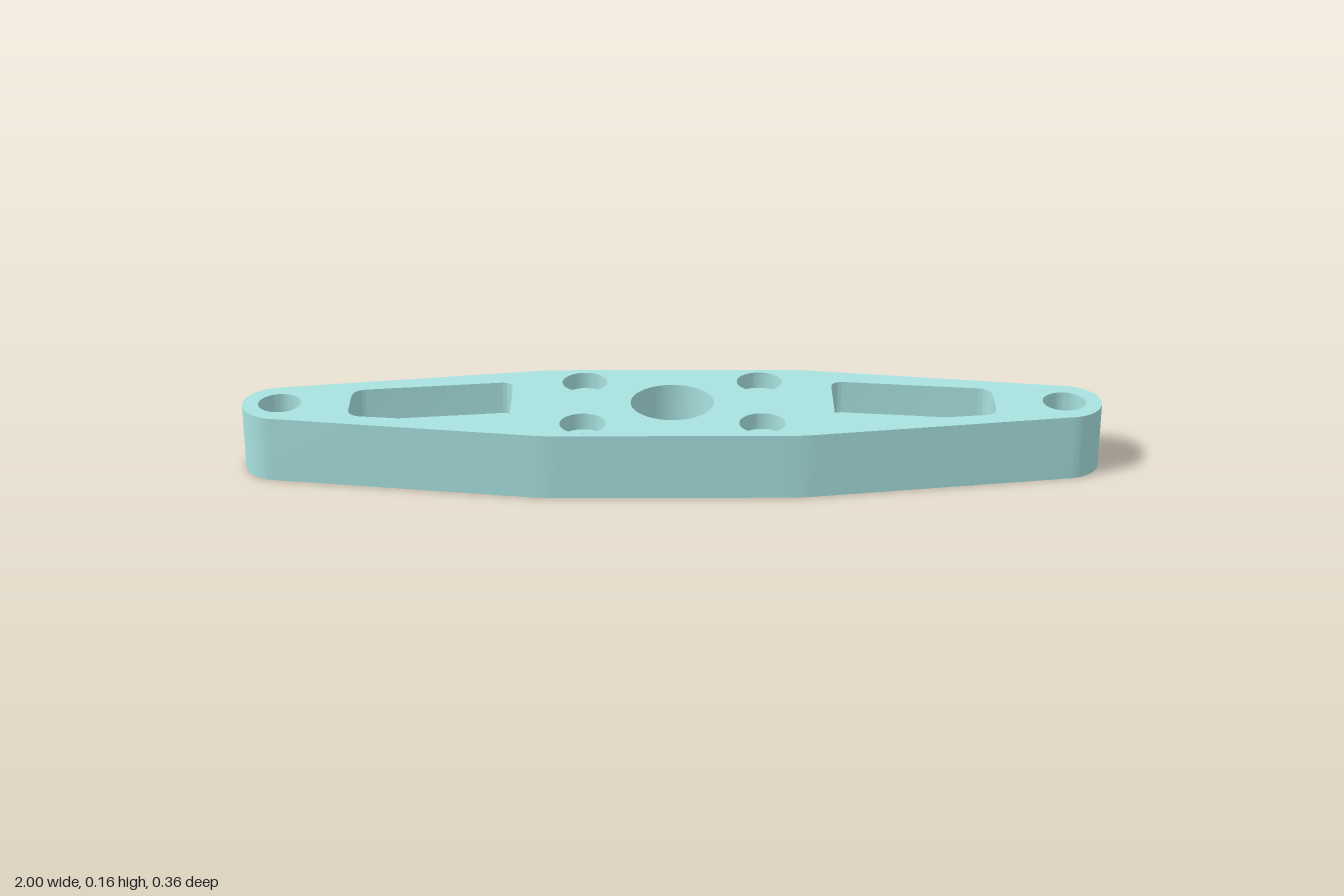
import * as THREE from 'three';
import { toCreasedNormals } from 'three/addons/utils/BufferGeometryUtils.js';

const HEIGHT = 0.157;
const POCKET_FLOOR = 0.078;   // floor of the two weight-saving pockets
const BORE_FLOOR = 0.117;     // floor of the bolt counterbores
const SEGMENTS = 20;
const END_X = 0.913, END_R = 0.087;
const SHOULDER = new THREE.Vector2(0.295, 0.182);

const material = new THREE.MeshStandardMaterial({ color: 0xa8e2e0 });

function circle(x, y, r) {
  const s = new THREE.Shape();
  s.absarc(x, y, r, 0, Math.PI * 2, false);
  return s;
}

// Adds a corner at p, rounded over a distance d towards its neighbours
function corner(shape, prev, p, next, d, first = false) {
  const a = p.clone().add(prev.clone().sub(p).setLength(d));
  const b = p.clone().add(next.clone().sub(p).setLength(d));
  if (first) shape.moveTo(a.x, a.y);
  else shape.lineTo(a.x, a.y);
  shape.quadraticCurveTo(p.x, p.y, b.x, b.y);
}

// Tapered bar with round ends tangent to the sloping sides
function outlineShape() {
  const toShoulder = SHOULDER.clone().sub(new THREE.Vector2(END_X, 0));
  const a = toShoulder.angle() - Math.acos(END_R / toShoulder.length());
  const tx = END_X + END_R * Math.cos(a), ty = END_R * Math.sin(a);
  const v = (x, y) => new THREE.Vector2(x, y);
  const { x, y } = SHOULDER;
  const s = new THREE.Shape();
  s.absarc(END_X, 0, END_R, -a, a, false);
  corner(s, v(tx, ty), v(x, y), v(-x, y), 0.03);
  corner(s, v(x, y), v(-x, y), v(-tx, ty), 0.03);
  s.absarc(-END_X, 0, END_R, Math.PI - a, Math.PI + a, false);
  corner(s, v(-tx, -ty), v(-x, -y), v(x, -y), 0.03);
  corner(s, v(-x, -y), v(x, -y), v(tx, -ty), 0.03);
  s.closePath();
  return s;
}

// Trapezoid pocket with rounded corners, side = 1 or -1
function pocketShape(side) {
  const pts = [[0.375, -0.115], [0.75, -0.07], [0.75, 0.07], [0.375, 0.115]]
    .map(([x, y]) => new THREE.Vector2(side * x, y));
  if (side < 0) pts.reverse();
  const s = new THREE.Shape();
  pts.forEach((p, i) => corner(s, pts[(i + 3) % 4], p, pts[(i + 1) % 4], 0.034, i === 0));
  s.closePath();
  return s;
}

// Flat horizontal face with holes, looking up or down
function face(name, shape, holes, y, up = true) {
  const s = shape.clone();
  s.holes = holes;
  const g = new THREE.ShapeGeometry(s, SEGMENTS);
  g.rotateX(up ? -Math.PI / 2 : Math.PI / 2);
  g.translate(0, y, 0);
  const mesh = new THREE.Mesh(g, material);
  mesh.name = name;
  return mesh;
}

// Vertical wall along a closed outline; inward walls line a hole
function wall(name, shape, y0, y1, inward = true) {
  const pts = shape.getPoints(SEGMENTS);
  if (pts[0].distanceTo(pts[pts.length - 1]) < 1e-6) pts.pop();
  if (inward) pts.reverse();
  const pos = [], index = [], n = pts.length;
  pts.forEach((p, i) => {
    pos.push(p.x, y0, -p.y, p.x, y1, -p.y);
    const a = 2 * i, b = 2 * ((i + 1) % n);
    index.push(a, b, b + 1, a, b + 1, a + 1);
  });
  const g = new THREE.BufferGeometry();
  g.setAttribute('position', new THREE.Float32BufferAttribute(pos, 3));
  g.setIndex(index);
  const mesh = new THREE.Mesh(toCreasedNormals(g, Math.PI / 6), material);
  mesh.name = name;
  return mesh;
}

export function createModel() {
  const group = new THREE.Group();
  group.name = 'mountingArm';
  const outline = outlineShape();
  const topHoles = [], bottomHoles = [];

  // Through holes: centre hub and one at each end
  for (const [name, x, r] of [['hubHole', 0, 0.097], ['endHole', END_X, 0.05], ['endHole', -END_X, 0.05]]) {
    const hole = circle(x, 0, r);
    topHoles.push(hole);
    bottomHoles.push(hole);
    group.add(wall(name, hole, 0, HEIGHT));
  }

  for (const side of [1, -1]) {
    // Blind pocket in each arm
    const pocket = pocketShape(side);
    topHoles.push(pocket);
    group.add(wall('pocketWall', pocket, POCKET_FLOOR, HEIGHT));
    group.add(face('pocketFloor', pocket, [], POCKET_FLOOR));

    // Counterbored bolt holes around the hub
    for (const z of [0.114, -0.114]) {
      const bore = circle(side * 0.206, z, 0.053);
      const bolt = circle(side * 0.206, z, 0.032);
      topHoles.push(bore);
      bottomHoles.push(bolt);
      group.add(wall('counterboreWall', bore, BORE_FLOOR, HEIGHT));
      group.add(face('counterboreFloor', bore, [bolt], BORE_FLOOR));
      group.add(wall('boltHole', bolt, 0, BORE_FLOOR));
    }
  }

  // Body skin
  group.add(wall('outerWall', outline, 0, HEIGHT, false));
  group.add(face('topFace', outline, topHoles, HEIGHT));
  group.add(face('bottomFace', outline, bottomHoles, 0, false));
  return group;
}
